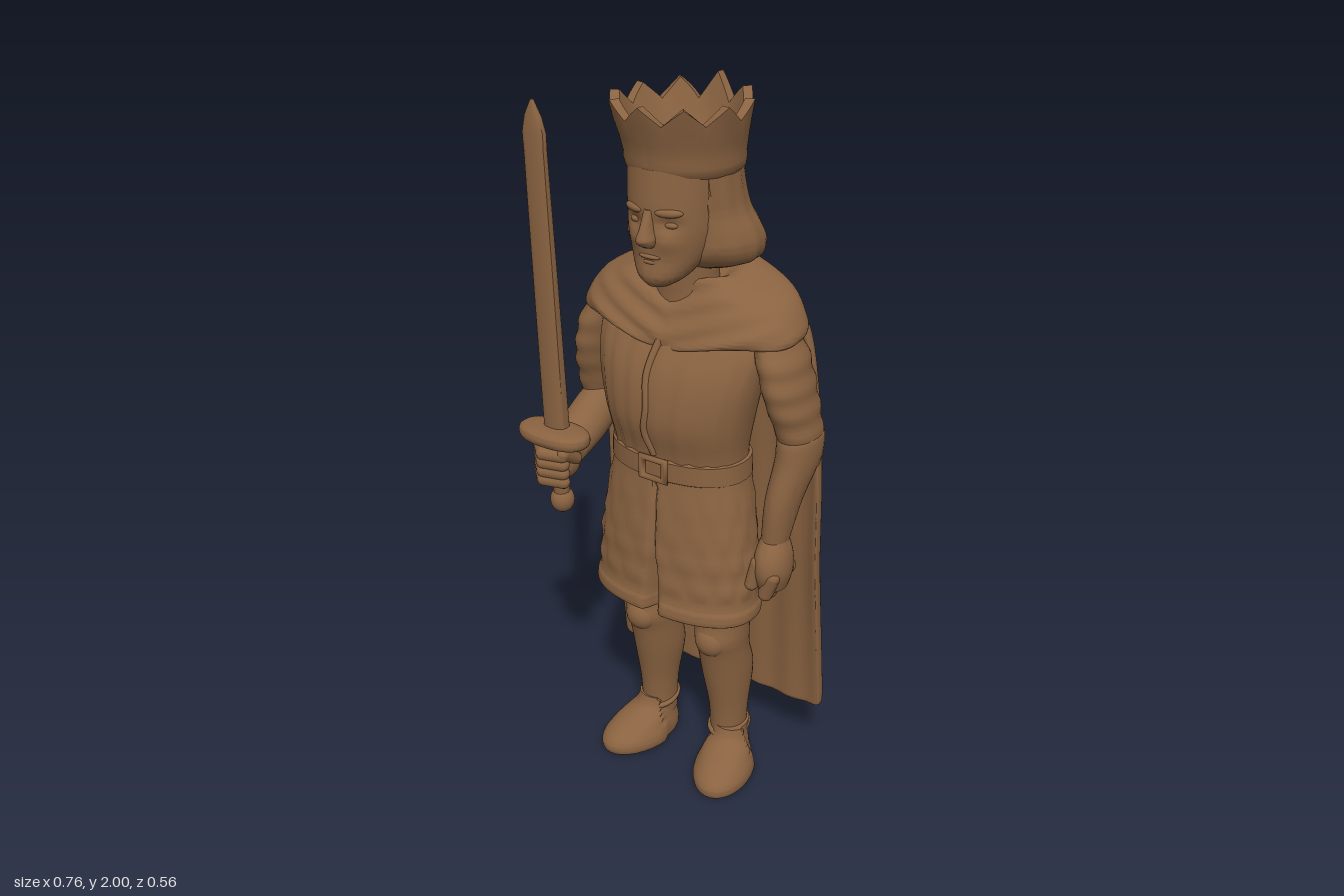
import * as THREE from 'three';
import { toCreasedNormals } from 'three/addons/utils/BufferGeometryUtils.js';

const brown = new THREE.MeshStandardMaterial({ color: 0x8a6341 });
brown.name = 'brown';

// Closed loft through horizontal rings [y, cx, cz, rx, rz].
// bend(p, angle) may move each point; pow < 1 makes the section boxier.
function loft(rings, { seg = 32, steps = 5, pow = 1, bend = null, crease = 0.8 } = {}) {
  const at = (k, c) => rings[Math.min(Math.max(k, 0), rings.length - 1)][c];
  const rows = [];
  for (let k = 0; k < rings.length - 1; k++) {
    for (let s = 0; s < steps; s++) {
      const t = s / steps;
      rows.push([0, 1, 2, 3, 4].map(c => {
        const a = at(k - 1, c), b = at(k, c), d = at(k + 1, c), e = at(k + 2, c);
        const m0 = (d - a) / 2, m1 = (e - b) / 2;
        return b + m0 * t + (3 * (d - b) - 2 * m0 - m1) * t * t + (2 * (b - d) + m0 + m1) * t * t * t;
      }));
    }
  }
  rows.push(rings[rings.length - 1]);
  const pos = [], idx = [], p = new THREE.Vector3();
  const bow = v => Math.sign(v) * Math.abs(v) ** pow;
  for (const [y, cx, cz, rx, rz] of rows) {
    for (let i = 0; i < seg; i++) {
      const a = i / seg * Math.PI * 2;
      p.set(cx + rx * bow(Math.cos(a)), y, cz + rz * bow(Math.sin(a)));
      if (bend) bend(p, a);
      pos.push(p.x, p.y, p.z);
    }
  }
  const n = rows.length;
  for (let j = 0; j < n - 1; j++) {
    for (let i = 0; i < seg; i++) {
      const a = j * seg + i, b = j * seg + (i + 1) % seg;
      idx.push(a, a + seg, b + seg, a, b + seg, b);
    }
  }
  for (const [j, flip] of [[0, false], [n - 1, true]]) {
    const r = rows[j], c = pos.length / 3;
    p.set(r[1], 0, r[2]);
    for (let i = 0; i < seg; i++) p.y += pos[(j * seg + i) * 3 + 1] / seg;
    pos.push(p.x, p.y, p.z);
    for (let i = 0; i < seg; i++) {
      const a = j * seg + i, b = j * seg + (i + 1) % seg;
      flip ? idx.push(c, b, a) : idx.push(c, a, b);
    }
  }
  const g = new THREE.BufferGeometry();
  g.setAttribute('position', new THREE.Float32BufferAttribute(pos, 3));
  g.setIndex(idx);
  return toCreasedNormals(g, crease);
}

export function createModel() {
  const model = new THREE.Group();
  const add = (name, geo) => {
    const m = new THREE.Mesh(geo, brown);
    m.name = name;
    model.add(m);
    return m;
  };
  const blob = (name, x, y, z, rx, ry, rz) => {
    const m = add(name, new THREE.SphereGeometry(1, 20, 14));
    m.position.set(x, y, z);
    m.scale.set(rx, ry, rz);
    return m;
  };
  const rod = (name, a, b, r) => {
    const A = new THREE.Vector3(...a), d = new THREE.Vector3(...b).sub(A);
    const m = add(name, new THREE.CapsuleGeometry(r, d.length(), 5, 12));
    m.position.copy(A).addScaledVector(d, 0.5);
    m.quaternion.setFromUnitVectors(new THREE.Vector3(0, 1, 0), d.normalize());
    return m;
  };

  // Head and face; the loft itself carries eye hollows and cheekbones
  add('neck', loft([[1.4, 0, -0.03, 0.1, 0.09], [1.49, 0, -0.02, 0.088, 0.08], [1.6, 0, -0.01, 0.088, 0.08]]));
  add('face', loft([[1.525, 0, 0.1, 0.03, 0.035], [1.55, 0, 0.082, 0.065, 0.07], [1.6, 0, 0.05, 0.098, 0.098],
    [1.66, 0, 0.03, 0.118, 0.12], [1.72, 0, 0.025, 0.122, 0.127], [1.82, 0, 0.01, 0.13, 0.135]], {
    seg: 64, steps: 8, bend: p => {
      if (p.z < 0.03) return;
      const dx = (Math.abs(p.x) - 0.048) / 0.028;
      p.z -= 0.012 * Math.exp(-dx * dx - ((p.y - 1.69) / 0.018) ** 2);
      p.z += 0.007 * Math.exp(-dx * dx - ((p.y - 1.645) / 0.025) ** 2);
    },
  }));
  add('nose', loft([[1.632, 0, 0.15, 0.016, 0.014], [1.65, 0, 0.155, 0.024, 0.034], [1.68, 0, 0.152, 0.016, 0.026],
    [1.725, 0, 0.145, 0.012, 0.012]], { seg: 16 }));
  for (const s of [1, -1]) {
    blob('eye', s * 0.048, 1.688, 0.121, 0.022, 0.01, 0.015);
    blob('brow', s * 0.05, 1.72, 0.133, 0.036, 0.012, 0.014).rotation.y = s * 0.4;
  }
  blob('upperLip', 0, 1.606, 0.143, 0.032, 0.007, 0.011);
  blob('lowerLip', 0, 1.592, 0.139, 0.025, 0.008, 0.012);
  blob('chin', 0, 1.553, 0.125, 0.036, 0.026, 0.027);

  // Bobbed hair, curling out at the bottom and held back from the face
  add('hair', loft([[1.552, 0, -0.07, 0.13, 0.1], [1.572, 0, -0.068, 0.172, 0.132], [1.61, 0, -0.06, 0.186, 0.153],
    [1.65, 0, -0.05, 0.178, 0.148], [1.7, 0, -0.033, 0.156, 0.14], [1.75, 0, -0.02, 0.147, 0.142],
    [1.82, 0, -0.01, 0.14, 0.143]], {
    seg: 64, bend: (p, a) => {
      const w = 1 + 0.012 * Math.sin(a * 16 + p.y * 20);
      p.set(p.x * w, p.y, Math.min(p.z * w, 0.065));
    },
  }));

  // Crown with ten flared points and a sunken floor
  add('crown', loft([[1.795, 0, -0.012, 0.138, 0.14], [1.805, 0, -0.012, 0.147, 0.152], [1.825, 0, -0.01, 0.151, 0.156],
    [1.84, 0, -0.009, 0.15, 0.155], [1.88, 0, -0.004, 0.158, 0.16], [1.92, 0, 0.003, 0.168, 0.168],
    [1.932, 0, 0.006, 0.174, 0.173], [1.932, 0, 0.006, 0.15, 0.15], [1.92, 0, 0.004, 0.138, 0.139],
    [1.885, 0, 0, 0.124, 0.125], [1.872, 0, 0, 0.118, 0.119], [1.882, 0, 0, 0.07, 0.07]], {
    seg: 100, steps: 1, crease: 0.6, bend: (p, a) => {
      if (p.y < 1.93) return;
      const u = (a - Math.PI / 2) * 10 / (2 * Math.PI);
      const peak = 1 - 2 * Math.abs(u - Math.round(u));
      p.y += peak * (0.042 + 0.026 * Math.max(0, -Math.sin(a)) ** 6);
      const flare = 0.97 + 0.075 * peak;
      p.x *= flare;
      p.z *= flare;
    },
  }));

  // Tunic, belt and scaled skirt
  add('tunic', loft([[0.98, 0, 0, 0.198, 0.125], [1.06, 0, 0.01, 0.198, 0.125], [1.16, 0, 0.015, 0.215, 0.143],
    [1.28, 0, 0.008, 0.24, 0.135], [1.38, 0, -0.018, 0.25, 0.113], [1.47, 0, -0.035, 0.2, 0.078]], {
    seg: 64, pow: 0.9, bend: (p, a) => {
      if (p.z > 0) p.z += 0.004 * Math.sin(a * 22) * Math.sin(a);
    },
  }));
  add('skirt', loft([[0.575, 0, 0.025, 0.244, 0.13], [0.582, 0, 0.025, 0.255, 0.14], [0.61, 0, 0.024, 0.254, 0.139],
    [0.625, 0, 0.023, 0.248, 0.134], [0.67, 0, 0.021, 0.244, 0.132], [0.8, 0, 0.015, 0.232, 0.132],
    [1.0, 0, 0.003, 0.2, 0.125]], {
    seg: 240, steps: 7, pow: 0.85, bend: (p, a) => {
      // overlapping scales, then the front slit
      if (p.y > 0.64 && p.y < 0.95) {
        const v = (p.y - 0.64) / 0.0775, row = Math.floor(v);
        const w = 1 + 0.03 * Math.abs(Math.sin(a * 8 + row * Math.PI / 2)) * Math.sin((v - row) * Math.PI) ** 2;
        p.x *= w;
        p.z *= w;
      }
      const open = THREE.MathUtils.clamp((0.8 - p.y) / 0.2, 0, 1);
      if (p.z > 0 && p.y < 0.97) p.z -= (0.012 + 0.05 * open) * Math.exp(-((p.x / (0.007 + 0.009 * open)) ** 2));
    },
  }));
  add('belt', loft([[0.985, 0, 0.005, 0.198, 0.125], [0.99, 0, 0.005, 0.206, 0.132], [1.045, 0, 0.006, 0.204, 0.132],
    [1.05, 0, 0.006, 0.196, 0.125]], { seg: 64, steps: 1, pow: 0.9 }));
  const buckle = add('buckle', new THREE.TorusGeometry(0.036, 0.01, 8, 4).rotateZ(Math.PI / 4));
  buckle.scale.set(1.4, 1.1, 1);
  buckle.position.set(0, 1.018, 0.139);
  const cord = new THREE.CatmullRomCurve3([[0.004, 1.39, 0.092], [-0.008, 1.35, 0.11], [-0.018, 1.28, 0.138],
    [-0.01, 1.2, 0.152], [-0.018, 1.13, 0.15], [0, 1.06, 0.132]].map(c => new THREE.Vector3(...c)));
  add('frontSeam', new THREE.TubeGeometry(cord, 30, 0.011, 8));

  // Draped shoulder collar, rolled high at the back, dipping to a point in front
  add('collar', loft([[1.395, 0, -0.048, 0.295, 0.135], [1.388, 0, -0.048, 0.315, 0.152], [1.4, 0, -0.049, 0.324, 0.16],
    [1.425, 0, -0.053, 0.318, 0.155], [1.48, 0, -0.065, 0.28, 0.137], [1.518, 0, -0.07, 0.205, 0.12],
    [1.54, 0, -0.062, 0.135, 0.1], [1.515, 0, -0.04, 0.09, 0.08]], {
    seg: 96, pow: 0.86, bend: (p, a) => {
      const front = Math.max(0, Math.sin(a));
      p.y -= 0.025 * Math.sin(a) - 0.018 * Math.sin(2 * a) ** 2 * front + 0.012 * front ** 30;
      p.z += 0.005 * front * Math.sin(p.y * 110 - Math.abs(p.x) * 40);
    },
  }));

  // Long pleated cape with edges curling forward
  add('cape', loft([[0.18, 0, -0.228, 0.342, 0.034], [0.19, 0, -0.229, 0.353, 0.042], [0.215, 0, -0.23, 0.356, 0.044],
    [0.3, 0, -0.229, 0.356, 0.045], [0.6, 0, -0.219, 0.354, 0.046], [1.0, 0, -0.204, 0.351, 0.044],
    [1.3, 0, -0.178, 0.322, 0.04], [1.43, 0, -0.155, 0.288, 0.036], [1.48, 0, -0.135, 0.24, 0.03]], {
    seg: 160, steps: 4, pow: 0.65, bend: p => {
      const edge = Math.abs(p.x) / 0.35;
      p.z += 0.07 * edge ** 4 * Math.min(1, (p.y + 0.1) / 0.8);
      p.z += (0.004 * Math.sin(p.x * 55 + 0.3 * p.y) + 0.002 * Math.sin(p.x * 31 + 1)) * Math.min(1, (1.5 - p.y) * 2);
    },
  }));

  // Arms: softly banded upper sleeves
  for (const s of [1, -1]) {
    add('upperSleeve', loft([[1.04, s * 0.325, -0.075, 0.048, 0.067], [1.13, s * 0.322, -0.067, 0.053, 0.079],
      [1.25, s * 0.302, -0.044, 0.057, 0.096], [1.36, s * 0.274, -0.037, 0.055, 0.092], [1.43, s * 0.235, -0.045, 0.04, 0.07]], {
      steps: 10, bend: p => {
        const w = 0.002 * Math.sin(p.y * 95);
        p.x += s * w * (Math.abs(p.x) > 0.29 ? 1 : 0);
        p.z += p.z > -0.04 ? w : -w;
      },
    }));
  }
  add('leftForearm', loft([[0.82, 0.297, 0.003, 0.034, 0.042], [0.95, 0.308, -0.02, 0.045, 0.065],
    [1.06, 0.323, -0.06, 0.054, 0.082], [1.125, 0.324, -0.068, 0.054, 0.083], [1.14, 0.32, -0.068, 0.045, 0.07]]));
  add('leftHand', loft([[0.7, 0.3, 0.008, 0.038, 0.05], [0.75, 0.303, 0.012, 0.048, 0.066],
    [0.8, 0.301, 0.01, 0.047, 0.063], [0.845, 0.298, 0.002, 0.035, 0.042]]));
  for (let i = 0; i < 4; i++) {
    const z = 0.054 - i * 0.028;
    rod('leftFinger', [0.324, 0.75, z], [0.304 - i * 0.003, 0.686 + Math.abs(i - 1.5) * 0.005, z - 0.002], 0.021);
  }
  rod('leftThumb', [0.277, 0.78, 0.055], [0.264, 0.715, 0.06], 0.019);

  const forearm = add('rightForearm', loft([[-0.05, 0, 0, 0.035, 0.035], [-0.03, 0, 0, 0.055, 0.062], [0.03, 0, 0, 0.06, 0.07],
    [0.14, 0, 0, 0.062, 0.062], [0.27, 0, 0, 0.05, 0.046]]));
  forearm.position.set(-0.32, 1.07, -0.075);
  forearm.quaternion.setFromUnitVectors(new THREE.Vector3(0, 1, 0), new THREE.Vector3(0.038, -0.075, 0.24).normalize());
  blob('rightPalm', -0.278, 0.99, 0.19, 0.06, 0.06, 0.06);
  for (let i = 0; i < 4; i++) {
    const y = 0.95 + i * 0.026;
    rod('rightFinger', [-0.322, y, 0.215], [-0.285, y, 0.25], 0.019);
    rod('rightFinger', [-0.285, y, 0.25], [-0.23, y, 0.235], 0.019);
  }
  rod('rightThumb', [-0.23, 1.0, 0.18], [-0.226, 1.035, 0.235], 0.018);

  // Sword
  add('blade', loft([[1.07, -0.268, 0.205, 0.036, 0.026], [1.5, -0.269, 0.222, 0.035, 0.021], [1.85, -0.27, 0.236, 0.033, 0.016],
    [1.89, -0.27, 0.237, 0.034, 0.015], [1.93, -0.27, 0.239, 0.024, 0.012], [1.97, -0.27, 0.24, 0.004, 0.004]],
  { seg: 16, steps: 1, pow: 0.8, crease: 0.5 }));
  add('guard', loft([[1.055, -0.268, 0.216, 0.085, 0.045], [1.062, -0.268, 0.217, 0.104, 0.057], [1.08, -0.268, 0.218, 0.108, 0.06],
    [1.094, -0.268, 0.217, 0.1, 0.054], [1.1, -0.268, 0.215, 0.06, 0.035]], { seg: 40, steps: 3, pow: 0.85 }));
  rod('grip', [-0.27, 0.88, 0.195], [-0.268, 1.06, 0.205], 0.023);
  blob('pommel', -0.27, 0.868, 0.194, 0.034, 0.038, 0.034);

  // Legs and shoes
  for (const [s, cx, foot] of [[1, 0.126, 0.148], [-1, -0.115, -0.122]]) {
    const side = s > 0 ? 'left' : 'right';
    add(side + 'Leg', loft([[0.08, cx + s * 0.004, -0.05, 0.05, 0.056], [0.2, cx + s * 0.004, -0.048, 0.056, 0.062],
      [0.33, cx, -0.045, 0.071, 0.085], [0.42, cx, -0.022, 0.071, 0.082], [0.47, cx, -0.014, 0.074, 0.092],
      [0.53, cx, -0.015, 0.075, 0.084], [0.64, cx, -0.01, 0.08, 0.09]]));
    blob(side + 'Knee', cx, 0.468, 0.04, 0.05, 0.05, 0.045);
    const shoe = add(side + 'Shoe', loft([[0, 0, 0.065, 0.074, 0.125], [0.012, 0, 0.066, 0.085, 0.136], [0.04, 0, 0.064, 0.085, 0.134],
      [0.075, 0, 0.045, 0.071, 0.108], [0.11, 0, 0.005, 0.057, 0.07], [0.145, 0, -0.008, 0.056, 0.062]], {
      bend: p => { if (p.z < 0.03) p.x *= 0.84; },
    }));
    shoe.position.set(foot, 0, -0.04);
    shoe.rotation.y = s * 0.26;
    const cuff = add(side + 'ShoeCuff', new THREE.TorusGeometry(0.054, 0.009, 8, 28));
    cuff.rotation.x = Math.PI / 2 + 0.2;
    cuff.scale.y = 1.1;
    cuff.position.set(cx + s * 0.007, 0.125, -0.048);
  }
  return model;
}
